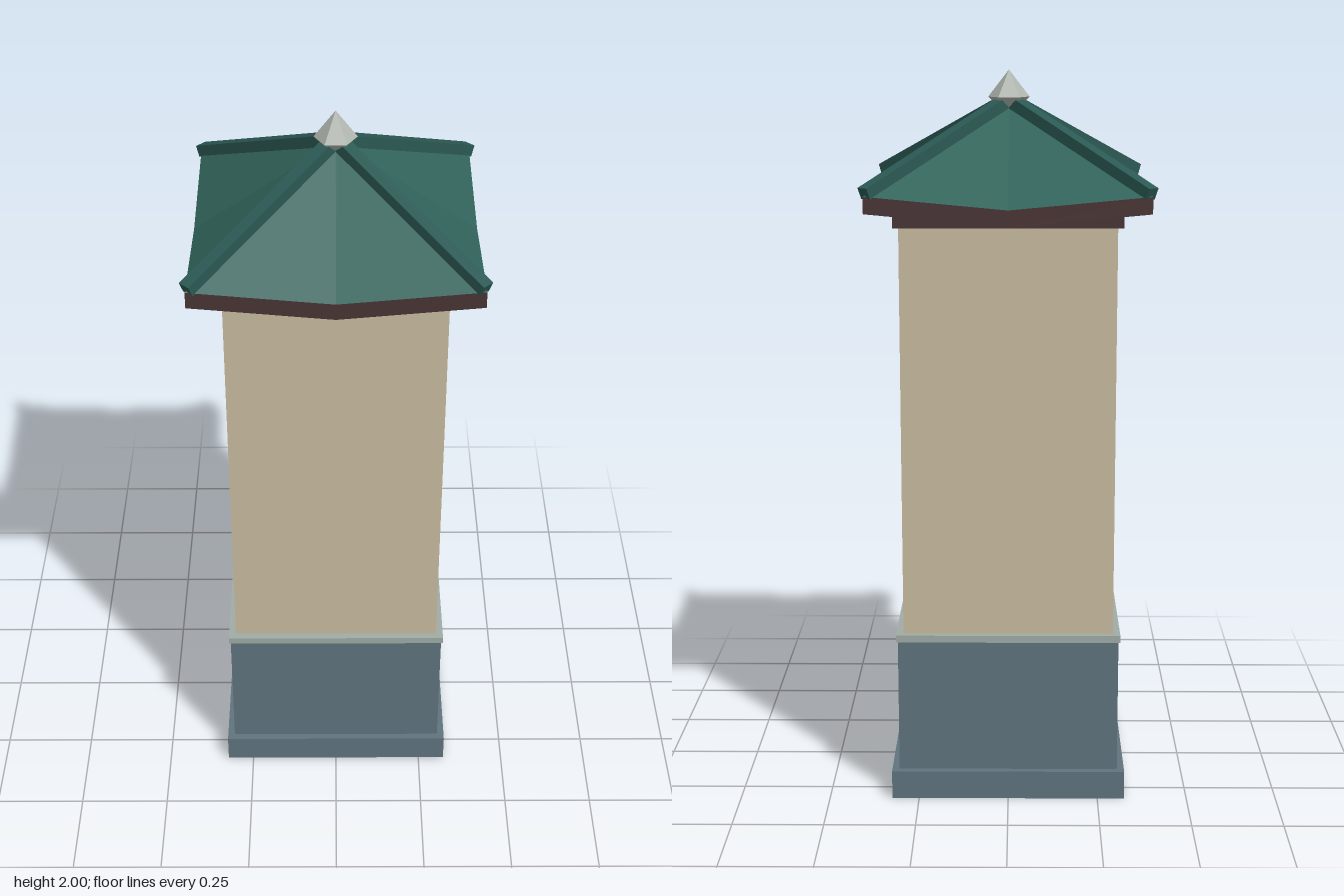
import * as THREE from 'three';

const mat = (name, color, extra = {}) => {
  const m = new THREE.MeshStandardMaterial({ color, ...extra });
  m.name = name;
  return m;
};

// Eight points around a square: corners and edge midpoints, at their own heights
const eaveRing = (half, cornerY, midY) =>
  [[1, 1], [1, 0], [1, -1], [0, -1], [-1, -1], [-1, 0], [-1, 1], [0, 1]].map(
    ([x, z], i) => [x * half, i % 2 ? midY : cornerY, z * half]);

// Flat-sided skin between successive rings, listed from bottom to top
function skin(rings) {
  const pos = [];
  for (let r = 0; r < rings.length - 1; r++) {
    const a = rings[r], b = rings[r + 1];
    for (let i = 0; i < 8; i++) {
      const j = (i + 1) % 8;
      pos.push(...a[i], ...a[j], ...b[j], ...a[i], ...b[j], ...b[i]);
    }
  }
  const g = new THREE.BufferGeometry();
  g.setAttribute('position', new THREE.Float32BufferAttribute(pos, 3));
  g.computeVertexNormals();
  return g;
}

export function createModel() {
  const group = new THREE.Group();
  const stone = mat('blue grey stone', 0x60747e);
  const trim = mat('pale stone trim', 0xa0aca6);
  const plaster = mat('tan plaster', 0xc9bca0);
  const wood = mat('dark brown wood', 0x4a3435, { side: THREE.DoubleSide });
  const tile = mat('green roof tile', 0x30635a);
  const ridgeTile = mat('dark green ridge tile', 0x2b5953);
  const metal = mat('grey finial', 0xb0b5ae, { flatShading: true });

  const add = (name, geometry, material) => {
    const mesh = new THREE.Mesh(geometry, material);
    mesh.name = name;
    group.add(mesh);
    return mesh;
  };
  const block = (name, half, y0, y1, material) => {
    add(name, new THREE.BoxGeometry(half * 2, y1 - y0, half * 2), material)
      .position.y = (y0 + y1) / 2;
  };

  // Tower body
  block('footing', 0.325, 0, 0.08, stone);
  block('plinth', 0.305, 0.08, 0.455, stone);
  block('plinthTrim', 0.31, 0.455, 0.475, trim);
  block('wall', 0.29, 0.475, 1.61, plaster);
  block('eaveBeam', 0.305, 1.6, 1.65, wood);

  // Eaves: soffit and fascia, upturned at the corners
  const eaveTop = eaveRing(0.375, 1.69, 1.655);
  add('eaves', skin([
    eaveRing(0.28, 1.645, 1.61), eaveRing(0.375, 1.645, 1.61), eaveTop,
  ]), wood);

  // Pyramid roof
  add('roof', skin([eaveTop, eaveRing(0.002, 1.912, 1.912)]), tile);

  // Hip ridges along the four diagonals
  const from = new THREE.Vector3(0, 1.92, 0);
  const to = new THREE.Vector3(0, 1.697, 0.526);
  const length = from.distanceTo(to);
  for (let i = 0; i < 4; i++) {
    const pivot = new THREE.Group();
    pivot.name = 'hipRidge';
    pivot.rotation.y = Math.PI / 4 + i * Math.PI / 2;
    const bar = new THREE.Mesh(new THREE.BoxGeometry(0.035, 0.032, length), ridgeTile);
    bar.name = 'ridgeBar';
    bar.position.copy(from).add(to).multiplyScalar(0.5);
    bar.rotation.x = Math.atan2(from.y - to.y, to.z);
    pivot.add(bar);
    group.add(pivot);
  }

  // Six-sided pointed finial
  const profile = [[0, 1.87], [0.057, 1.927], [0, 2]].map(p => new THREE.Vector2(...p));
  add('finial', new THREE.LatheGeometry(profile, 6, Math.PI / 6), metal);

  return group;
}
